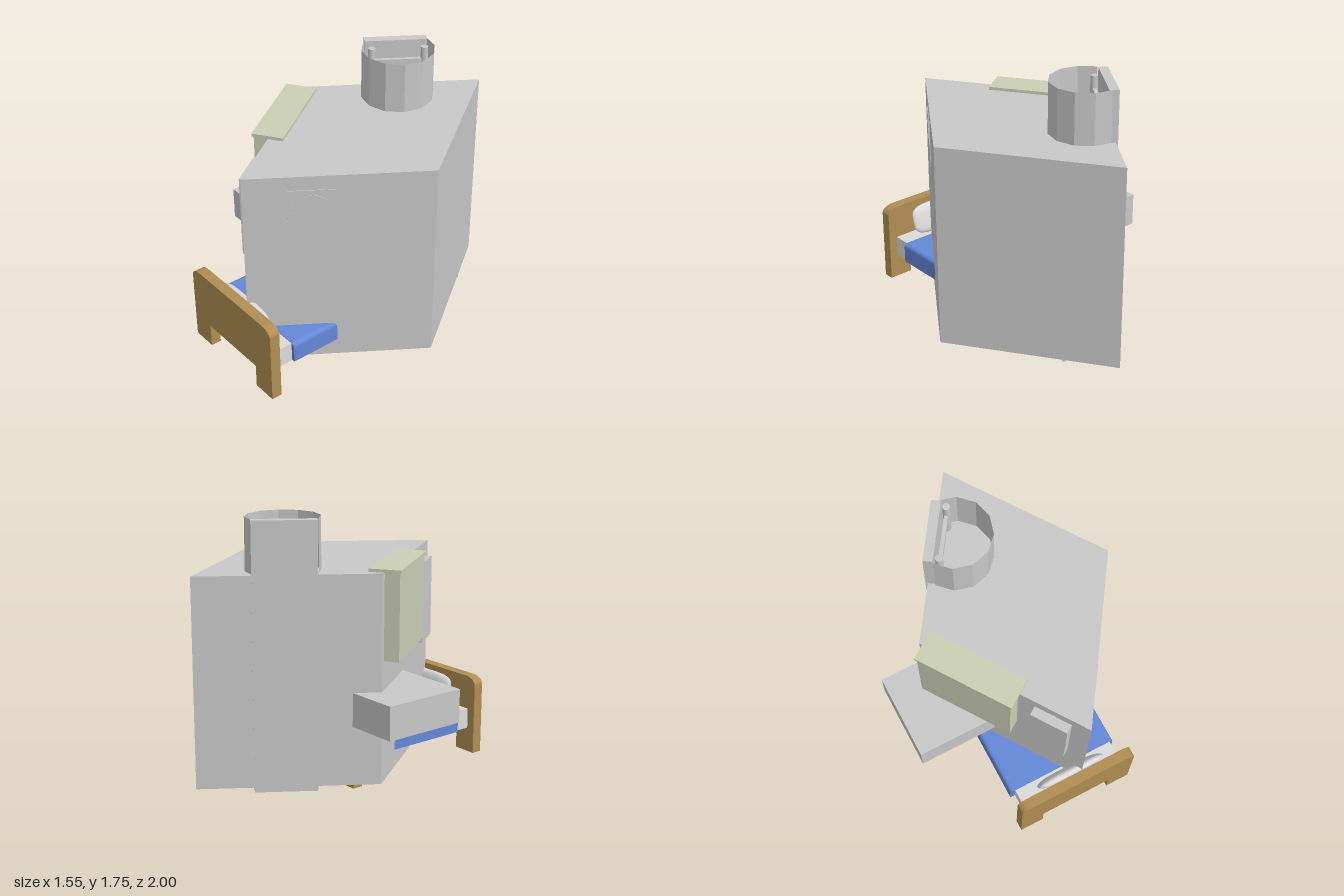
import * as THREE from 'three';

const mat = (name, color, side = THREE.FrontSide) => {
  const m = new THREE.MeshStandardMaterial({ color, side });
  m.name = name;
  return m;
};

export function createModel() {
  const group = new THREE.Group();
  const grey = mat('grey', 0xc8c8c8);
  const greySheet = mat('greySheet', 0xc8c8c8, THREE.DoubleSide);
  const sage = mat('sage', 0xcbcfb4);
  const wood = mat('wood', 0xb08e52);
  const blue = mat('blue', 0x6488d8);
  const white = mat('white', 0xdcdcdc);
  const TURN = 0.975; // angle of the diamond block's walls

  const add = (name, geo, m, x = 0, y = 0, z = 0, ry = 0) => {
    const mesh = new THREE.Mesh(geo, m);
    mesh.name = name;
    mesh.position.set(x, y, z);
    mesh.rotation.y = ry;
    group.add(mesh);
    return mesh;
  };
  // box given by its vertical span
  const box = (name, m, w, y0, y1, d, x, z, ry = 0) =>
    add(name, new THREE.BoxGeometry(w, y1 - y0, d), m, x, (y0 + y1) / 2, z, ry);
  // prism standing on a floor outline of [x, z] points
  const prism = (name, m, pts, y0, y1) => {
    const shape = new THREE.Shape(pts.map(([x, z]) => new THREE.Vector2(x, -z)));
    const geo = new THREE.ExtrudeGeometry(shape, { depth: y1 - y0, bevelEnabled: false });
    geo.rotateX(-Math.PI / 2);
    return add(name, geo, m, 0, y0, 0);
  };

  // main diamond-shaped block
  prism('roomBlock', grey, [[0.12, -1], [-0.53, -0.04], [0.12, 0.92], [0.775, -0.04]], 0.065, 1.42);
  prism('floorMat', grey, [[0.71, 0.04], [0.57, -0.12], [0.3, 0.08], [0.44, 0.27]], 0.057, 0.066);
  for (const [x, z] of [[0.28, -0.26], [-0.04, -0.3], [0.31, -0.69], [0.015, -0.72]])
    box('smallFoot', grey, 0.04, 0.055, 0.08, 0.02, x, z, TURN);

  // side table box
  box('sideBox', grey, 0.58, 0.45, 0.67, 0.575, -0.49, 0.0975);

  // cabinet with its lid, and the narrow panel beside it
  box('cabinet', sage, 0.635, 0.86, 1.42, 0.185, -0.335, 0.255, -TURN);
  box('cabinetLid', sage, 0.66, 1.42, 1.44, 0.205, -0.335, 0.255, -TURN);
  box('wallPanel', grey, 0.25, 0.79, 1.335, 0.06, -0.045, 0.73, -TURN);

  // thin plate with a round disc on the right wall
  box('wallPlate', grey, 0.3, 1.02, 1.325, 0.008, 0.356, 0.574, TURN);
  const disc = new THREE.CylinderGeometry(0.118, 0.118, 0.008, 32);
  disc.rotateX(Math.PI / 2);
  add('wallDisc', disc, grey, 0.359, 1.172, 0.576, TURN);

  // tall back plate and the open curved wall above the roof
  box('backPlate', grey, 0.4, 0.038, 1.755, 0.06, -0.183, -0.524, TURN);
  const shell = new THREE.CylinderGeometry(0.235, 0.235, 0.355, 8, 1, true, -Math.PI / 3, Math.PI * 4 / 3)
    .toNonIndexed();
  shell.computeVertexNormals();
  add('curvedWall', shell, greySheet, -0.07, 1.5775, -0.45);
  for (const [x, z] of [[-0.22, -0.36], [-0.03, -0.64]])
    add('post', new THREE.CylinderGeometry(0.024, 0.024, 0.31, 12), grey, x, 1.565, z);
  box('postRail', grey, 0.34, 1.6, 1.64, 0.025, -0.125, -0.5, TURN);

  // bed: head and foot boards with two legs each
  const board = (name, top, z) => {
    const s = new THREE.Shape();
    s.moveTo(-0.365, 0.005);
    s.lineTo(-0.2, 0.005);
    s.lineTo(-0.2, 0.165);
    s.lineTo(0.3, 0.165);
    s.lineTo(0.3, 0.005);
    s.lineTo(0.467, 0.005);
    s.lineTo(0.467, top - 0.045);
    s.quadraticCurveTo(0.45, top, 0.375, top);
    s.lineTo(-0.275, top);
    s.quadraticCurveTo(-0.35, top, -0.365, top - 0.045);
    s.closePath();
    add(name, new THREE.ExtrudeGeometry(s, { depth: 0.07, bevelEnabled: false }), wood, 0, 0, z);
  };
  board('headBoard', 0.54, 0.93);
  board('footBoard', 0.4, -0.13);
  box('mattress', white, 0.72, 0.175, 0.312, 0.99, 0.05, 0.43);

  // blanket with rounded long edges
  const b = new THREE.Shape();
  b.moveTo(-0.345, 0.18);
  b.lineTo(0.435, 0.18);
  b.lineTo(0.435, 0.285);
  b.quadraticCurveTo(0.435, 0.317, 0.4, 0.317);
  b.lineTo(-0.31, 0.317);
  b.quadraticCurveTo(-0.345, 0.317, -0.345, 0.285);
  b.closePath();
  add('blanket', new THREE.ExtrudeGeometry(b, { depth: 0.84, bevelEnabled: false }), blue, 0, 0, -0.04);

  // pillow: a sphere squared off sideways, leaning on the head board
  const pillow = new THREE.SphereGeometry(1, 32, 20);
  const p = pillow.attributes.position;
  const square = (v) => Math.sign(v) * Math.pow(Math.abs(v), 0.5);
  for (let i = 0; i < p.count; i++)
    p.setXYZ(i, square(p.getX(i)) * 0.24, square(p.getY(i)) * 0.105, p.getZ(i) * 0.033);
  pillow.computeVertexNormals();
  add('pillow', pillow, white, 0.06, 0.412, 0.873).rotation.x = 0.28;

  return group;
}
